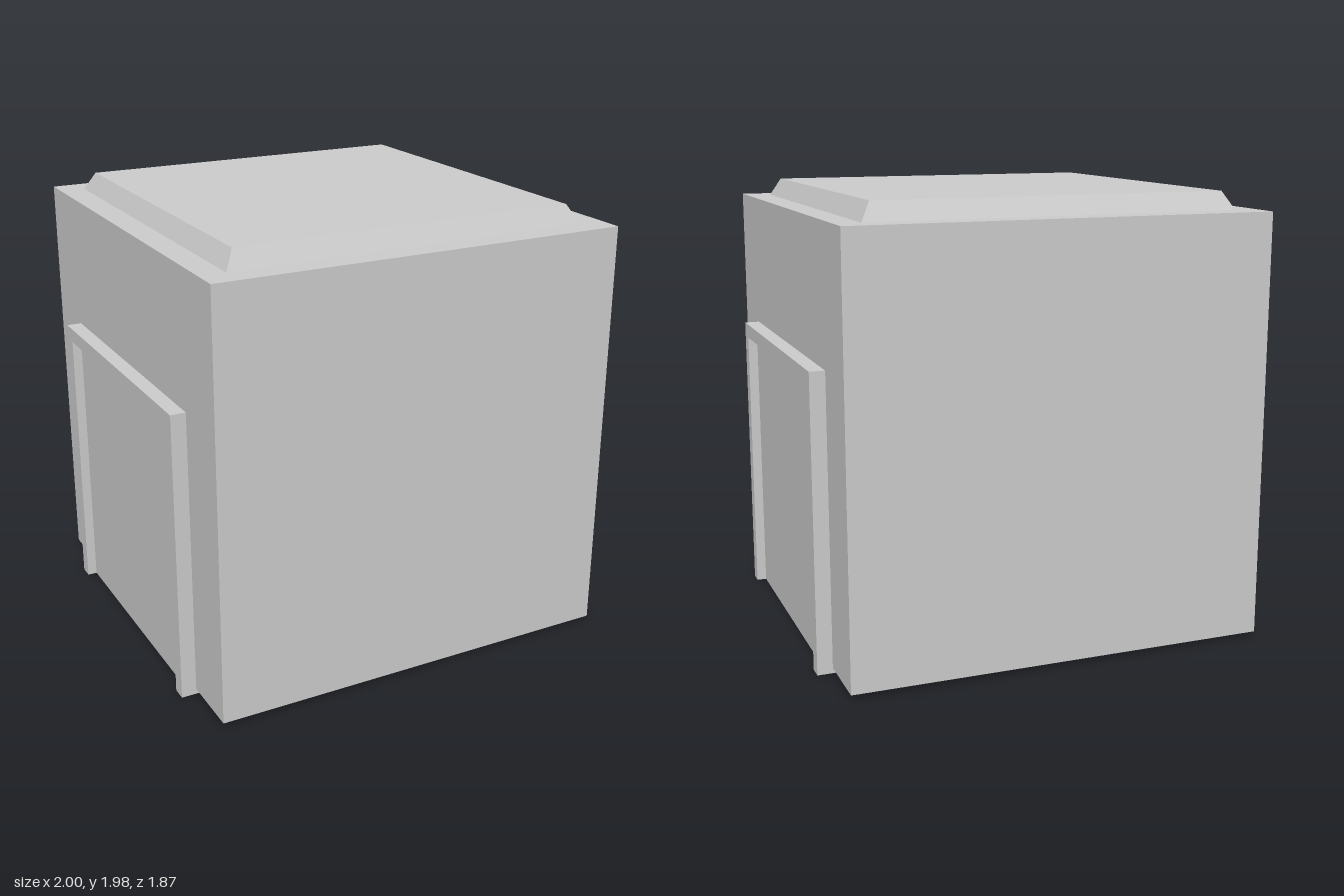
import * as THREE from 'three';

const material = new THREE.MeshStandardMaterial({
  color: 0xcccccc, flatShading: true, side: THREE.DoubleSide,
});

function addMesh(parent, name, geometry) {
  const mesh = new THREE.Mesh(geometry, material);
  mesh.name = name;
  parent.add(mesh);
  return mesh;
}

// Square shell from a profile of [half width, height], bottom to top
function squareShell(profile) {
  const points = profile.map(([half, y]) => new THREE.Vector2(half * Math.SQRT2, y));
  return new THREE.LatheGeometry(points, 4, Math.PI / 4);
}

// Door surround: a stepped section [x, half width, top] swept up, across and down
function surroundGeometry(section) {
  const positions = [];
  const index = [];
  const n = section.length;
  for (let k = 0; k < 4; k++) {
    for (const [x, half, top] of section) {
      positions.push(x, k === 1 || k === 2 ? top : 0, k < 2 ? half : -half);
    }
  }
  for (let k = 0; k < 3; k++) {
    for (let j = 0; j < n - 1; j++) {
      const a = k * n + j;
      index.push(a, a + 1, a + n, a + 1, a + n + 1, a + n);
    }
  }
  const geometry = new THREE.BufferGeometry();
  geometry.setAttribute('position', new THREE.Float32BufferAttribute(positions, 3));
  geometry.setIndex(index);
  geometry.computeVertexNormals();
  return geometry;
}

function createDoor(name) {
  const door = new THREE.Group();
  door.name = name;
  const half = 0.583, top = 1.232, panelX = 0.957;

  addMesh(door, 'doorSurround', surroundGeometry([
    [0.908, 0.647, 1.296], [1, 0.647, 1.296], [1, half, top], [panelX, half, top],
  ]));

  // Recessed panel
  const panel = addMesh(door, 'doorPanel', new THREE.PlaneGeometry(half * 2, top));
  panel.rotation.y = Math.PI / 2;
  panel.position.set(panelX, top / 2, 0);
  return door;
}

export function createModel() {
  const model = new THREE.Group();
  model.name = 'building';

  // Walls and flat top, open underneath
  addMesh(model, 'walls', squareShell([[0.933, 0.023], [0.933, 1.895], [0, 1.895]]));

  // Raised roof slab with sloping edges
  addMesh(model, 'roofSlab', squareShell([[0.82, 1.895], [0.775, 1.975], [0, 1.975]]));

  // Matching doors on both sides
  const left = createDoor('leftDoor');
  const right = createDoor('rightDoor');
  right.rotation.y = Math.PI;
  model.add(left, right);

  return model;
}
